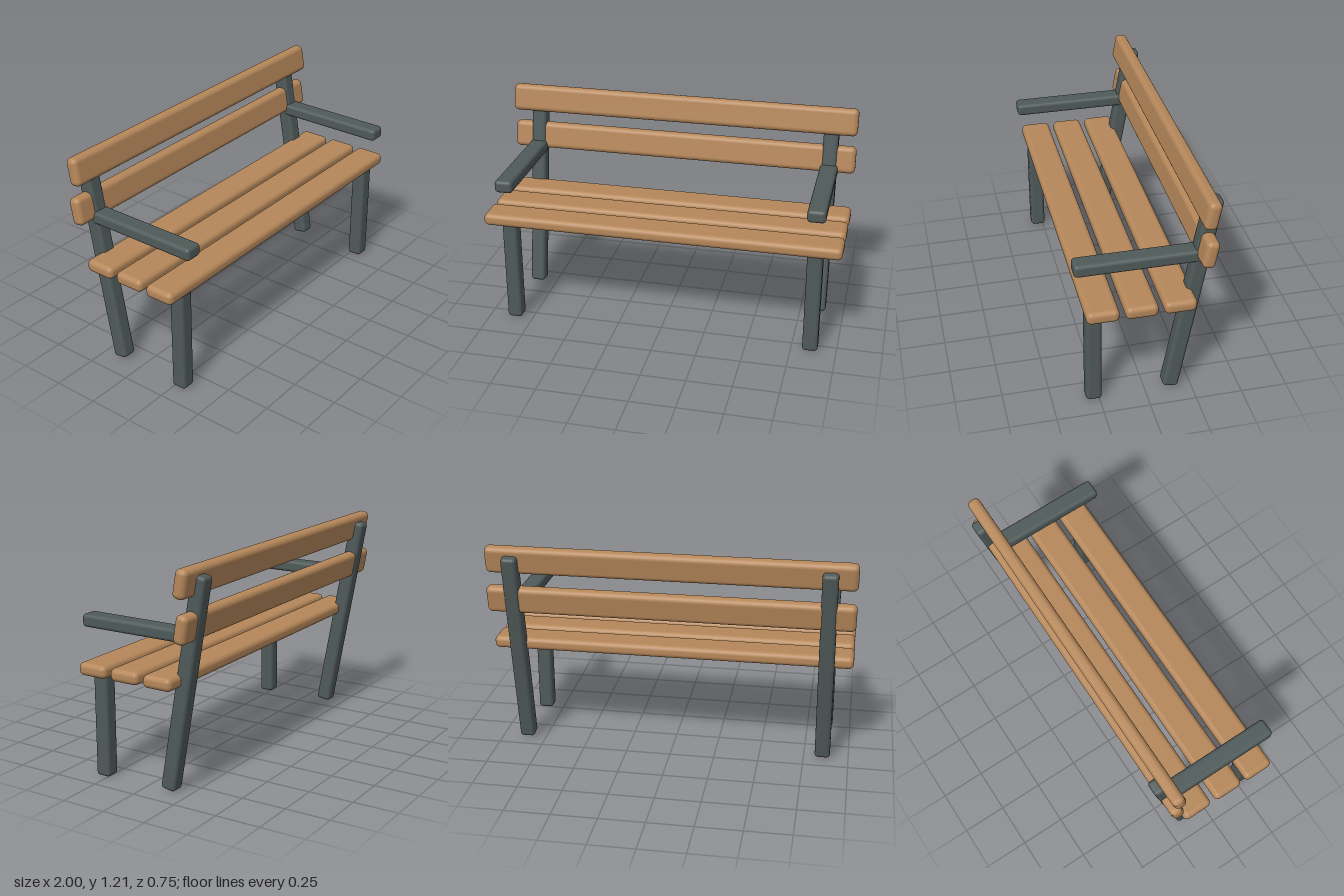
import * as THREE from 'three';
import { RoundedBoxGeometry } from 'three/addons/geometries/RoundedBoxGeometry.js';

export function createModel() {
  const bench = new THREE.Group();
  bench.name = 'bench';

  const wood = new THREE.MeshStandardMaterial({ color: 0xb5875a });
  wood.name = 'wood';
  const iron = new THREE.MeshStandardMaterial({ color: 0x4f5a59 });
  iron.name = 'iron';

  // Rounded bar, optionally leaning backwards about x
  function addBar(name, material, size, radius, position, lean = 0) {
    const mesh = new THREE.Mesh(new RoundedBoxGeometry(...size, 4, radius), material);
    mesh.name = name;
    mesh.position.set(...position);
    mesh.rotation.x = -lean;
    bench.add(mesh);
  }

  const LEAN = 0.174;

  // Three flat seat slats
  [0.25, 0.05, -0.15].forEach((z, i) =>
    addBar(`seatSlat${i + 1}`, wood, [2, 0.07, 0.17], 0.028, [0, 0.615, z]));

  // Two leaning back slats: the lower is let into the posts, the upper sits on their front
  [['lowerBackSlat', 0.905], ['upperBackSlat', 1.13]].forEach(([name, y]) =>
    addBar(name, wood, [2, 0.153, 0.07], 0.028, [0, y, -0.293], LEAN));

  // Mirrored end frames
  for (const [side, s] of [['left', 1], ['right', -1]]) {
    const x = s * 0.855;
    addBar(`${side}FrontLeg`, iron, [0.085, 0.6, 0.085], 0.02, [x, 0.3, 0.279]);
    addBar(`${side}BackPost`, iron, [0.085, 1.165, 0.085], 0.02, [x, 0.587, -0.236], LEAN);
    addBar(`${side}Armrest`, iron, [0.1, 0.07, 0.65], 0.02, [x, 0.845, 0.052]);
  }

  return bench;
}
